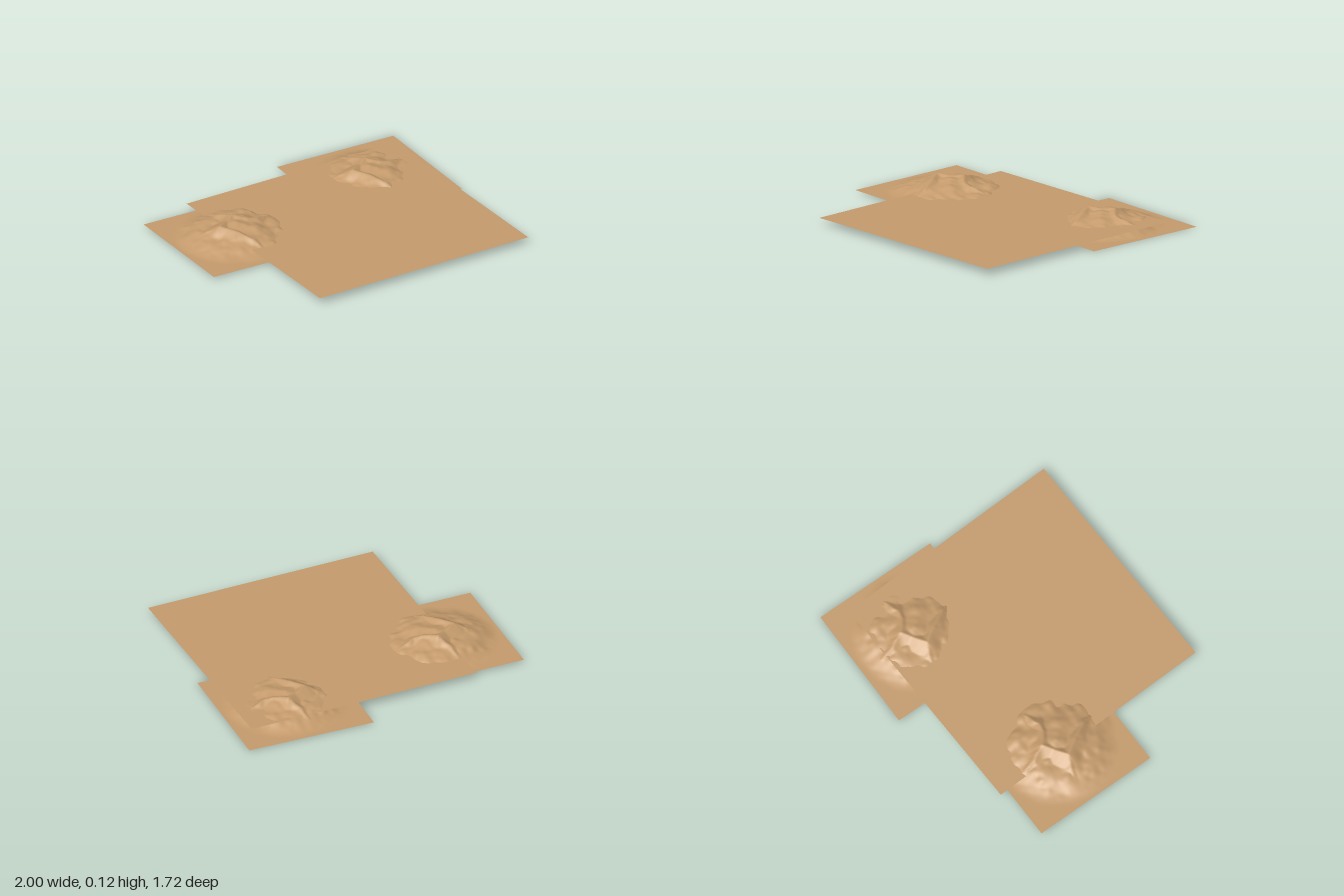
import * as THREE from 'three';

const SIZE = 0.84, SEGMENTS = 96;

// Ridge lines as [x, z, height] points on a mountain patch
const ridges = [
  [[-0.04, -0.05, 0.086], [-0.12, 0.0, 0.097], [-0.07, 0.1, 0.089], [0, 0.2, 0.066], [0.01, 0.27, 0.04]],
  [[-0.04, -0.05, 0.086], [0.02, -0.09, 0.1], [0.09, -0.035, 0.086], [0.15, -0.015, 0.074], [0.26, -0.05, 0.047]],
  [[0.02, -0.09, 0.096], [-0.02, -0.18, 0.072], [-0.04, -0.27, 0.04]],
  [[-0.12, 0.0, 0.094], [-0.19, -0.03, 0.066], [-0.27, -0.04, 0.035]],
];

// Deterministic smooth value noise
function hash(i, j) {
  const s = Math.sin(i * 127.1 + j * 311.7) * 43758.5453;
  return s - Math.floor(s);
}
function noise(x, z) {
  const i = Math.floor(x), j = Math.floor(z);
  const u = THREE.MathUtils.smoothstep(x - i, 0, 1);
  const v = THREE.MathUtils.smoothstep(z - j, 0, 1);
  const { lerp } = THREE.MathUtils;
  return lerp(lerp(hash(i, j), hash(i + 1, j), u), lerp(hash(i, j + 1), hash(i + 1, j + 1), u), v);
}

// Height of the closest ridge, falling away steeply to both sides
function ridgeHeight(x, z) {
  let best = 0;
  for (const line of ridges) {
    for (let k = 0; k < line.length - 1; k++) {
      const [ax, az, ah] = line[k], [bx, bz, bh] = line[k + 1];
      const dx = bx - ax, dz = bz - az;
      const t = THREE.MathUtils.clamp(((x - ax) * dx + (z - az) * dz) / (dx * dx + dz * dz), 0, 1);
      const d = Math.hypot(x - ax - t * dx, z - az - t * dz);
      best = Math.max(best, ah + (bh - ah) * t - 0.55 * d);
    }
  }
  return best;
}

function terrainHeight(x, z) {
  const r = Math.hypot(x, z);
  const fade = 1 - THREE.MathUtils.smoothstep(r, 0.26, 0.41);
  const cone = 0.082 * Math.pow(Math.max(0, 1 - r / 0.42), 0.8);
  // gullies run outwards, with finer lumps over them
  const bumps = (noise(x * 11 + 20, z * 11 + 20) - 0.5) * 0.022
    + (noise(x * 26 + 50, z * 26 + 50) - 0.5) * 0.009;
  const ridge = ridgeHeight(x + bumps * 0.8, z - bumps * 0.8);
  const slope = (cone + bumps) * fade;
  return Math.max(0, slope, ridge * (0.4 + 0.6 * fade));
}

function makeMountain(name, material, x, y, z, turn, tilt, heightScale) {
  const geometry = new THREE.PlaneGeometry(SIZE, SIZE, SEGMENTS, SEGMENTS).rotateX(-Math.PI / 2);
  const p = geometry.attributes.position;
  for (let i = 0; i < p.count; i++) p.setY(i, terrainHeight(p.getX(i), p.getZ(i)) * heightScale);
  geometry.computeVertexNormals();
  const mesh = new THREE.Mesh(geometry, material);
  mesh.name = name;
  mesh.position.set(x, y, z);
  mesh.rotation.set(0, turn, tilt);
  return mesh;
}

export function createModel() {
  const group = new THREE.Group();
  group.name = 'desertMountains';
  const sand = new THREE.MeshStandardMaterial({ color: 0xc69c6d, side: THREE.DoubleSide });
  sand.name = 'sand';

  // Flat ground that cuts through the feet of both mountains
  const ground = new THREE.Mesh(new THREE.PlaneGeometry(1.54, 1.535).rotateX(-Math.PI / 2), sand);
  ground.name = 'ground';
  ground.position.set(0.14, 0.043, 0.0875);
  group.add(ground);

  group.add(makeMountain('rightMountain', sand, -0.57, 0.012, -0.2, -0.025, -0.009, 1.06));
  group.add(makeMountain('leftMountain', sand, 0.5625, 0, -0.4325, -0.039, 0, 1));
  return group;
}
